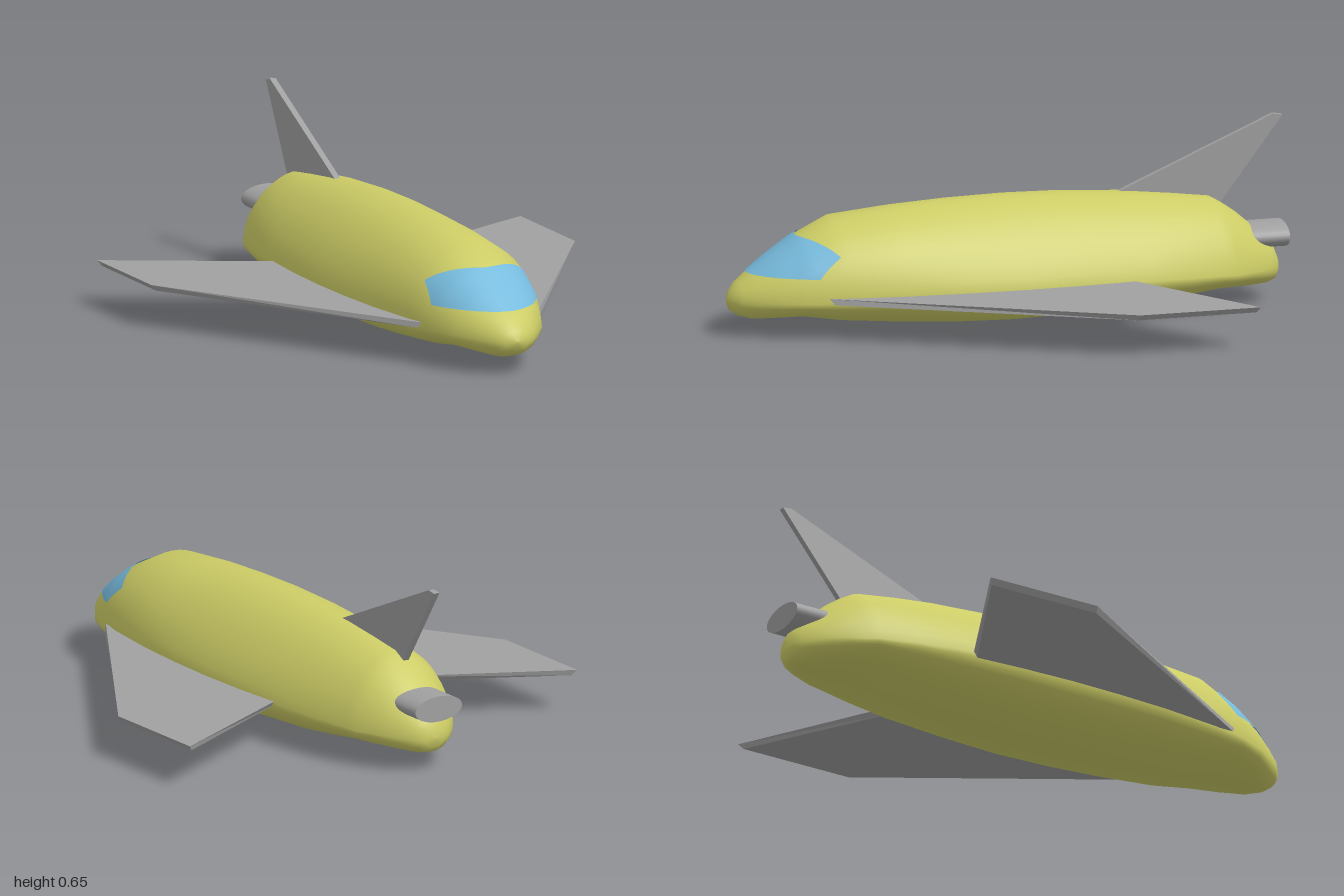
import * as THREE from 'three';

// Hull stations, nose to tail: z, bottom y, widest y, top y, half width, shoulder slimming
const STATIONS = [
  [1.0, 0.115, 0.12, 0.125, 0.005, 0],
  [0.99, 0.085, 0.12, 0.155, 0.045, 0],
  [0.965, 0.068, 0.122, 0.185, 0.078, 0],
  [0.92, 0.055, 0.125, 0.218, 0.115, 0],
  [0.85, 0.057, 0.128, 0.267, 0.163, 0],
  [0.755, 0.06, 0.13, 0.33, 0.204, 0],
  [0.62, 0.038, 0.135, 0.395, 0.238, 0],
  [0.4, 0.018, 0.145, 0.415, 0.267, 0.5],
  [0.2, 0.005, 0.15, 0.426, 0.28, 0.9],
  [0, 0, 0.15, 0.43, 0.285, 1],
  [-0.2, 0.006, 0.15, 0.426, 0.28, 1],
  [-0.45, 0.023, 0.145, 0.41, 0.264, 0.9],
  [-0.6, 0.042, 0.14, 0.393, 0.242, 0.7],
  [-0.735, 0.06, 0.135, 0.375, 0.211, 0.5],
  [-0.78, 0.06, 0.13, 0.35, 0.195, 0.4],
  [-0.83, 0.059, 0.13, 0.315, 0.17, 0.3],
  [-0.88, 0.059, 0.128, 0.272, 0.142, 0.2],
  [-0.93, 0.06, 0.125, 0.226, 0.104, 0],
  [-0.962, 0.07, 0.122, 0.19, 0.07, 0],
  [-0.977, 0.09, 0.12, 0.155, 0.04, 0],
  [-0.98, 0.12, 0.12, 0.12, 0, 0],
];

// Hull section at any z, interpolated between stations
function sectionAt(z) {
  let i = 0;
  while (i < STATIONS.length - 2 && STATIONS[i + 1][0] > z) i++;
  const a = STATIONS[i], b = STATIONS[i + 1];
  const t = (z - a[0]) / (b[0] - a[0]);
  return a.map((v, k) => v + (b[k] - v) * t);
}

// Point on a section; the upper half leans in, slightly more on the left
function hullPoint([z, bottom, mid, top, w, slim], angle) {
  const c = Math.cos(angle), s = Math.sin(angle);
  const k = s > 0 ? slim * (c > 0 ? 0.26 : 0.19) : 0;
  return [w * c * (1 - k * s), mid + s * (s > 0 ? top - mid : mid - bottom), z];
}

// Height of the upper nose surface above a given x
function noseHeight(x, z) {
  const [, , mid, top, w] = sectionAt(z);
  return mid + (top - mid) * Math.sqrt(Math.max(0, 1 - (x / w) ** 2));
}

// Skin over rows of points running front to back, each from left to right over the top
function gridGeometry(rows, closed) {
  const n = rows[0].length, index = [];
  for (let r = 0; r < rows.length - 1; r++) {
    for (let c = 0; c < (closed ? n : n - 1); c++) {
      const d = (c + 1) % n;
      const a = r * n + c, b = r * n + d, e = a + n, f = b + n;
      index.push(a, e, b, b, e, f);
    }
  }
  const g = new THREE.BufferGeometry();
  g.setAttribute('position', new THREE.Float32BufferAttribute(rows.flat(2), 3));
  g.setIndex(index);
  g.computeVertexNormals();
  return g;
}

function hullGeometry() {
  const sides = 48;
  const nose = [1.0, 0.12, 0.12, 0.12, 0, 0];
  return gridGeometry([nose, ...STATIONS].map((s) =>
    Array.from({ length: sides }, (_, i) => hullPoint(s, (i / sides) * Math.PI * 2))), true);
}

// Window patch lying just above the nose skin
function windowGeometry() {
  const rows = [];
  const cols = 28, steps = 10;
  for (let r = 0; r <= steps; r++) {
    const t = r / steps, row = [];
    for (let c = 0; c <= cols; c++) {
      const u = 1 - (c / cols) * 2;
      const x = u * (0.196 - 0.011 * t);
      // lower edge follows a level line around the nose
      let lo = 0.66, hi = 0.93;
      for (let i = 0; i < 24; i++) {
        const m = (lo + hi) / 2;
        if (noseHeight(x, m) > 0.212) lo = m; else hi = m;
      }
      const z = lo + (0.752 - 0.105 * Math.abs(u) ** 1.6 - lo) * t;
      row.push([x * 1.015, noseHeight(x, z) + 0.003, z + 0.002]);
    }
    rows.push(row);
  }
  return gridGeometry(rows, false);
}

// Flat plate from an outline, standing in the xy plane
function plate(points, depth) {
  const shape = new THREE.Shape(points.map(([x, y]) => new THREE.Vector2(x, y)));
  return new THREE.ExtrudeGeometry(shape, { depth, bevelEnabled: false });
}

function wingGeometry(side) {
  const outline = [[0.22, 0.7], [0.805, -0.23], [0.805, -0.665], [0.22, -0.365]];
  const g = plate(outline.map(([x, z]) => [x * side, -z]), 0.02);
  g.rotateX(-Math.PI / 2);
  g.translate(0, 0.13, 0);
  // underside is slightly smaller than the top
  const p = g.attributes.position;
  for (let i = 0; i < p.count; i++) {
    if (p.getY(i) < 0.14) {
      p.setX(i, 0.5 * side + (p.getX(i) - 0.5 * side) * 0.95);
      p.setZ(i, p.getZ(i) * 0.98);
    }
  }
  g.computeVertexNormals();
  return g;
}

function finGeometry() {
  const outline = [[-0.39, 0.4], [-0.965, 0.65], [-0.998, 0.645], [-0.76, 0.32]];
  const g = plate(outline.map(([z, y]) => [-z, y]), 0.022);
  g.rotateY(Math.PI / 2);
  // the fin leans a little to the left
  const p = g.attributes.position;
  for (let i = 0; i < p.count; i++) p.setX(i, p.getX(i) - 0.021 + (p.getY(i) - 0.41) * 0.07);
  g.computeVertexNormals();
  return g;
}

export function createModel() {
  const group = new THREE.Group();
  const yellow = new THREE.MeshStandardMaterial({ color: 0xcccc66 });
  const blue = new THREE.MeshStandardMaterial({ color: 0x77bbdd, side: THREE.DoubleSide });
  const grey = new THREE.MeshStandardMaterial({ color: 0xa0a0a0 });
  const add = (name, geometry, material) => {
    const mesh = new THREE.Mesh(geometry, material);
    mesh.name = name;
    group.add(mesh);
  };

  add('fuselage', hullGeometry(), yellow);
  add('windshield', windowGeometry(), blue);
  add('leftWing', wingGeometry(1), grey);
  add('rightWing', wingGeometry(-1), grey);
  add('tailFin', finGeometry(), grey);

  // flattened engine nozzle
  const nozzle = new THREE.CylinderGeometry(1, 1, 0.18, 32);
  nozzle.rotateX(Math.PI / 2);
  nozzle.scale(0.097, 0.045, 1);
  nozzle.translate(0, 0.23, -0.91);
  add('engineNozzle', nozzle, grey);

  return group;
}
